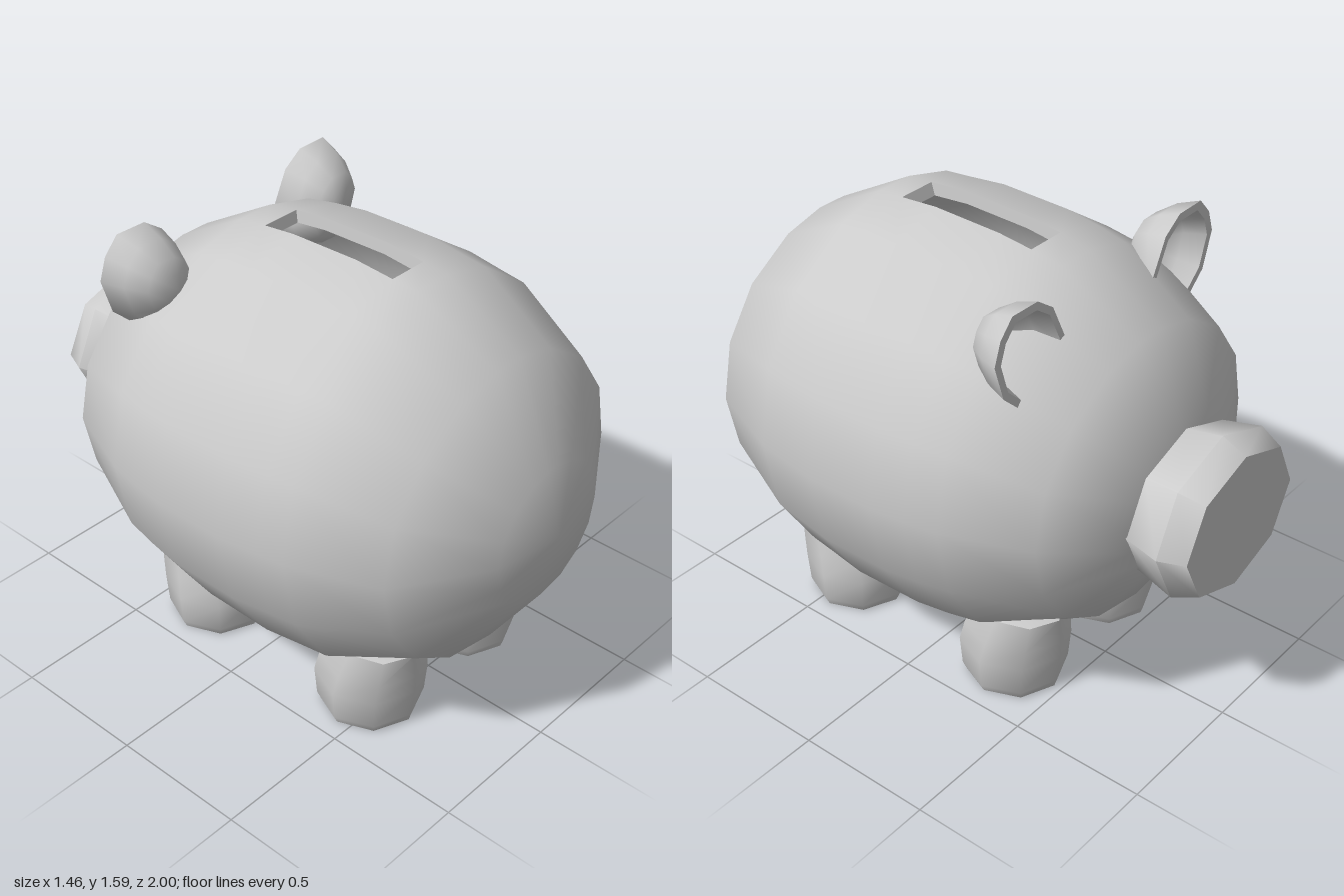
import * as THREE from 'three';
import { toCreasedNormals } from 'three/addons/utils/BufferGeometryUtils.js';

const CY = 0.845; // height of the body axis
const material = new THREE.MeshStandardMaterial({ color: 0xcccccc });

// Skin a list of closed rings of [x, y, z]; skip(i, j) leaves a quad open
function loft(rings, skip = () => false) {
  const n = rings[0].length, index = [];
  for (let i = 0; i < rings.length - 1; i++) {
    for (let j = 0; j < n; j++) {
      if (skip(i, j)) continue;
      const k = (j + 1) % n;
      const a = i * n + j, b = i * n + k, c = a + n, d = b + n;
      index.push(a, b, d, a, d, c);
    }
  }
  const geo = new THREE.BufferGeometry();
  geo.setAttribute('position', new THREE.Float32BufferAttribute(rings.flat(2), 3));
  geo.setIndex(index);
  return toCreasedNormals(geo, 0.9);
}

function part(name, geometry) {
  const mesh = new THREE.Mesh(geometry, material);
  mesh.name = name;
  return mesh;
}

// Elliptical ring around the z axis, starting at the top
const zRing = (angles, z, rx, ry, cy) =>
  angles.map(a => [rx * Math.sin(a), cy + ry * Math.cos(a), z]);

// Hollow body with a coin slot in its top
function createBody() {
  const half = 0.105; // half the slot's angle
  const angles = [half];
  for (let i = 1; i < 16; i++) angles.push((i * Math.PI) / 8);
  angles.push(2 * Math.PI - half);
  const last = angles.length - 1;

  // z, x radius, y radius
  const profile = [
    [1, 0, 0], [0.955, 0.255, 0.25], [0.76, 0.57, 0.545], [0.45, 0.69, 0.715],
    [0.35, 0.705, 0.722], [0.2, 0.728, 0.735], [-0.07, 0.728, 0.728], [-0.2, 0.712, 0.712],
    [-0.32, 0.69, 0.69], [-0.62, 0.57, 0.517], [-0.775, 0.305, 0.262], [-0.775, 0, 0],
  ];
  const outer = profile.map(([z, rx, ry]) => zRing(angles, z, rx, ry, CY));
  const inner = profile.map(([z, rx, ry]) => zRing(angles, z * 0.95, rx * 0.94, ry * 0.94, CY));
  const first = 4, end = 7; // slot runs between these rings
  const inSlot = (i, j) => j === last && i >= first && i < end;

  // Slot outline on a shell: along one side, back along the other
  const outline = rings => {
    const span = rings.slice(first, end + 1);
    return [...span.map(r => r[0]), ...span.reverse().map(r => r[last])];
  };
  const body = new THREE.Group();
  body.name = 'body';
  body.add(
    part('bodyShell', loft(outer, inSlot)),
    part('bodyInside', loft([...inner].reverse(), (i, j) => inSlot(inner.length - 2 - i, j))),
    part('coinSlot', loft([outline(outer), outline(inner)])),
  );
  return body;
}

// Eight-sided snout flaring out, then in to a flat face
function createSnout() {
  const angles = Array.from({ length: 8 }, (_, i) => (i * Math.PI) / 4);
  const profile = [
    [-0.74, 0.3, 0.255], [-0.775, 0.305, 0.26], [-0.91, 0.338, 0.29],
    [-1, 0.3, 0.25], [-1, 0, 0],
  ];
  return part('snout', loft(profile.map(([z, rx, ry]) => zRing(angles, z, rx, ry, 0.817))));
}

// Stubby leg that leans outward as it rises into the body
function createLeg(name, sx, z, sz) {
  // y, x radius, z radius, x shift, z shift
  const profile = [
    [0, 0, 0, 0, 0], [0, 0.175, 0.175, 0, 0], [0.03, 0.19, 0.185, 0, 0],
    [0.14, 0.198, 0.196, 0, 0], [0.22, 0.18, 0.19, 0.008, 0.015],
    [0.33, 0.14, 0.165, 0.028, 0.045], [0.36, 0, 0, 0.03, 0.05],
  ];
  const rings = profile.map(([y, rx, rz, dx, dz]) =>
    Array.from({ length: 8 }, (_, i) => {
      const a = (i * Math.PI) / 4;
      return [sx * (0.258 + dx) + rx * Math.cos(a), y, z + sz * dz - rz * Math.sin(a)];
    }));
  return part(name, loft(rings));
}

// Cupped ear open toward the snout
function createEar(name, side) {
  const cx = 0.39, cy = 1.41;
  const rim = [
    [0.37, 1.588], [0.49, 1.59], [0.545, 1.53], [0.572, 1.45], [0.53, 1.32],
    [0.4, 1.2], [0.26, 1.25], [0.21, 1.36], [0.295, 1.535],
  ];
  // Scale of the rim and z, from the outer back to the inner hollow
  const profile = [
    [0, -0.28], [0.32, -0.288], [0.6, -0.315], [0.84, -0.38], [1, -0.46],
    [0.84, -0.46], [0.68, -0.385], [0.4, -0.335], [0, -0.32],
  ];
  const rings = profile.map(([s, z]) => {
    const ring = rim.map(([x, y]) => [side * (cx + (x - cx) * s), cy + (y - cy) * s, z]);
    return side > 0 ? ring : ring.reverse();
  });
  return part(name, loft(rings));
}

export function createModel() {
  const model = new THREE.Group();
  model.name = 'piggyBank';
  model.add(createBody(), createSnout());
  for (const [label, sx] of [['left', 1], ['right', -1]]) {
    model.add(
      createEar(label + 'Ear', sx),
      createLeg(label + 'LegBySnout', sx, -0.295, -1),
      createLeg(label + 'LegByRump', sx, 0.45, 1),
    );
  }
  return model;
}
